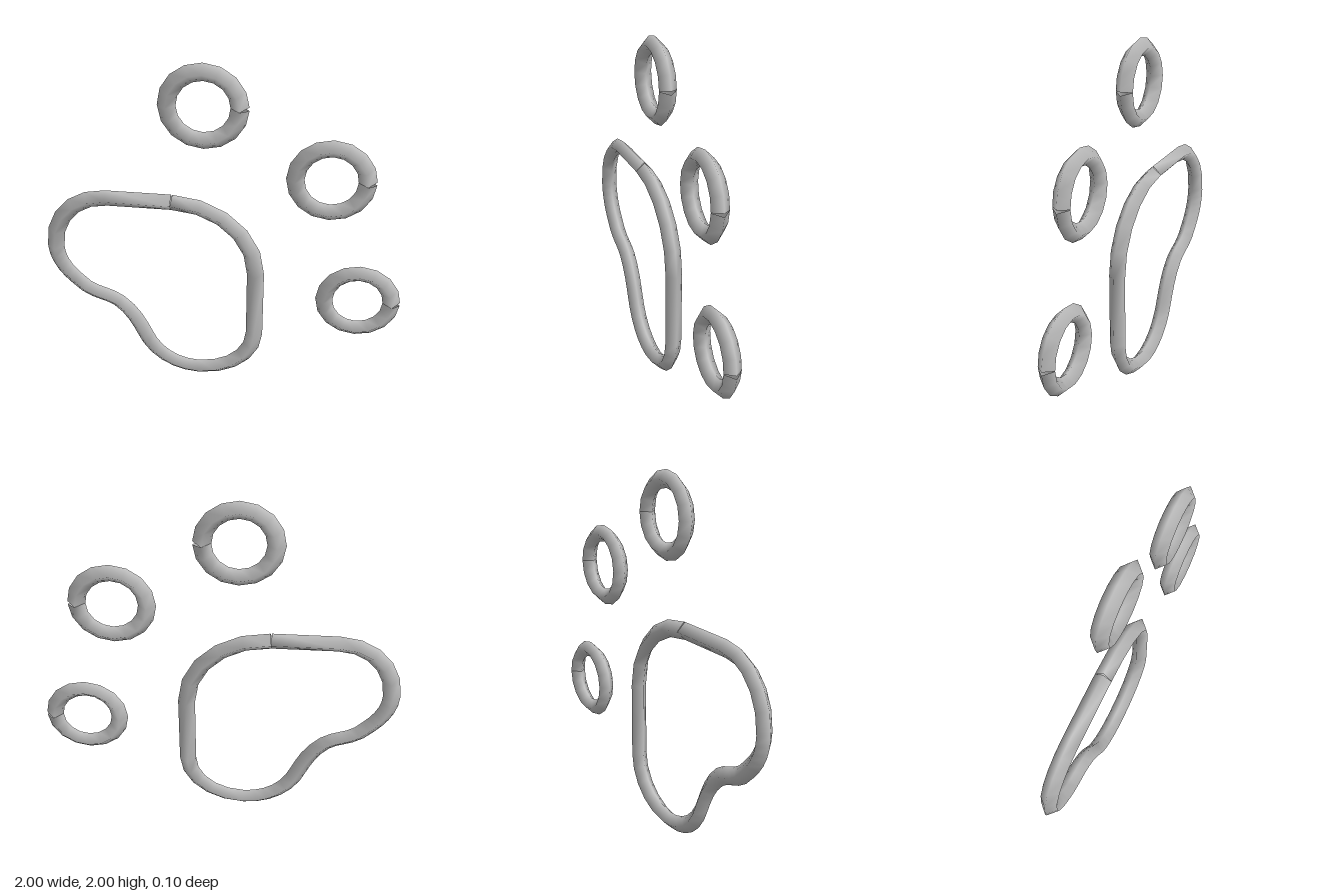
import * as THREE from 'three';

const R = 0.048; // half thickness of every tube
const SIDES = 4; // diamond section, smoothly shaded

// Sweep the diamond section along a flat outline, leaving the seam unjoined
function sweep(points) {
  const positions = [];
  const index = [];
  points.forEach((p, i) => {
    const before = points[Math.max(i - 1, 0)];
    const after = points[Math.min(i + 1, points.length - 1)];
    const dirIn = p.clone().sub(before).normalize();
    const dirOut = after.clone().sub(p).normalize();
    const t = dirIn.add(dirOut).normalize();
    for (let j = 0; j < SIDES; j++) {
      const a = (j / SIDES) * Math.PI * 2;
      const c = Math.cos(a) * R;
      positions.push(p.x + t.y * c, p.y - t.x * c, Math.sin(a) * R);
    }
    if (i === 0) return;
    for (let j = 0; j < SIDES; j++) {
      const k = (j + 1) % SIDES;
      const lo = (i - 1) * SIDES;
      const hi = i * SIDES;
      index.push(lo + j, hi + j, lo + k, lo + k, hi + j, hi + k);
    }
  });
  const geometry = new THREE.BufferGeometry();
  geometry.setAttribute('position', new THREE.Float32BufferAttribute(positions, 3));
  geometry.setIndex(index);
  geometry.computeVertexNormals();
  return geometry;
}

export function createModel() {
  const group = new THREE.Group();
  group.name = 'pawOutline';
  const grey = new THREE.MeshStandardMaterial({ color: 0xc0c0c0, side: THREE.DoubleSide });
  grey.name = 'light grey';

  const add = (name, points) => {
    const mesh = new THREE.Mesh(sweep(points), grey);
    mesh.name = name;
    group.add(mesh);
  };

  // Main pad: rounded outline with a dent at the lower left
  const pad = new THREE.Path();
  pad.moveTo(-0.28, 1.193);
  pad.bezierCurveTo(-0.02, 1.193, 0.185, 1.0, 0.185, 0.76);
  pad.lineTo(0.185, 0.34);
  pad.bezierCurveTo(0.185, 0.18, 0.04, 0.048, -0.15, 0.048);
  pad.bezierCurveTo(-0.27, 0.048, -0.38, 0.11, -0.44, 0.22);
  pad.bezierCurveTo(-0.48, 0.3, -0.51, 0.42, -0.61, 0.5);
  pad.bezierCurveTo(-0.69, 0.56, -0.76, 0.53, -0.85, 0.64);
  pad.bezierCurveTo(-0.91, 0.7, -0.952, 0.77, -0.952, 0.86);
  pad.bezierCurveTo(-0.952, 1.05, -0.82, 1.193, -0.64, 1.193);
  pad.lineTo(-0.28, 1.193);
  add('mainPad', pad.getPoints(5));

  // Toe rings, each with a small split on its +x side
  const toes = [[-0.1, 1.764], [0.568, 1.384], [0.762, 0.626]];
  toes.forEach(([x, y], i) => {
    const ring = new THREE.Path();
    ring.absarc(x, y, 0.188, 0, Math.PI * 2, false);
    add('toeRing' + (i + 1), ring.getPoints(8));
  });

  return group;
}
